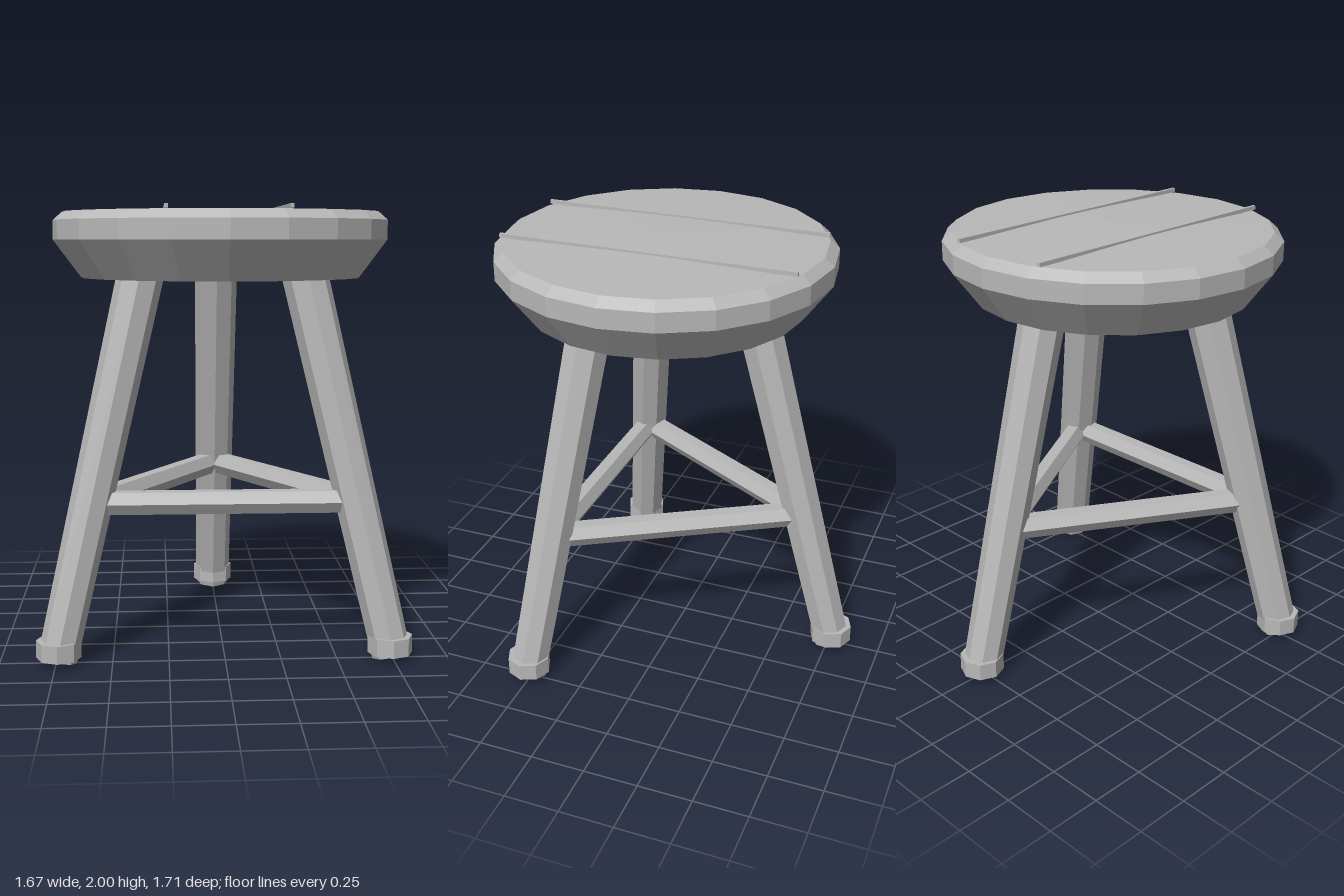
import * as THREE from 'three';

const SEAT_Z = 0.09; // seat axis sits slightly forward of the overall centre
const FOOT_R = 0.85;

export function createModel() {
  const group = new THREE.Group();
  const grey = new THREE.MeshStandardMaterial({ color: 0xb8b8b8 });
  grey.name = 'plain grey';

  const add = (name, geometry) => {
    const flat = geometry.index ? geometry.toNonIndexed() : geometry;
    flat.computeVertexNormals(); // faceted look
    const mesh = new THREE.Mesh(flat, grey);
    mesh.name = name;
    group.add(mesh);
    return mesh;
  };

  // Tapered bar from point a to point b
  const bar = (name, a, b, rA, rB, sides) => {
    const dir = b.clone().sub(a);
    const mesh = add(name, new THREE.CylinderGeometry(rB, rA, dir.length(), sides));
    mesh.position.copy(a).add(b).multiplyScalar(0.5);
    mesh.quaternion.setFromUnitVectors(new THREE.Vector3(0, 1, 0), dir.normalize());
  };

  // Point at a given angle, distance from the seat axis and height
  const polar = (angle, r, y) =>
    new THREE.Vector3(Math.sin(angle) * r, y, SEAT_Z + Math.cos(angle) * r);

  // Seat: undercut base, straight rim, bevel and very shallow dome
  const profile = [[0, 1.685], [0.637, 1.685], [0.763, 1.855], [0.763, 1.942], [0.72, 1.98], [0, 1.998]]
    .map(([r, y]) => new THREE.Vector2(r, y));
  add('seat', new THREE.LatheGeometry(profile, 20)).position.z = SEAT_Z;

  // Plank seams on the seat
  for (const x of [-0.254, 0.254]) {
    add('plankSeam', new THREE.BoxGeometry(0.015, 0.018, 1.36)).position.set(x, 1.991, SEAT_Z + 0.005);
  }

  // Three splayed legs with foot caps, joined by stretchers
  const legRadius = (y) => 0.425 + 0.26 * (1.685 - y);
  const angles = [1, 3, 5].map((k) => (k * Math.PI) / 3);
  angles.forEach((angle, i) => {
    bar('leg', polar(angle, legRadius(0.022), 0.022), polar(angle, legRadius(1.75), 1.75), 0.088, 0.104, 8);

    const foot = add('footCap', new THREE.CylinderGeometry(0.1, 0.1, 0.08, 8));
    foot.position.copy(polar(angle, FOOT_R, 0.07));

    const next = angles[(i + 1) % 3];
    const y = 0.705;
    bar('stretcher', polar(angle, legRadius(y), y), polar(next, legRadius(y), y), 0.057, 0.057, 6);
  });

  return group;
}
